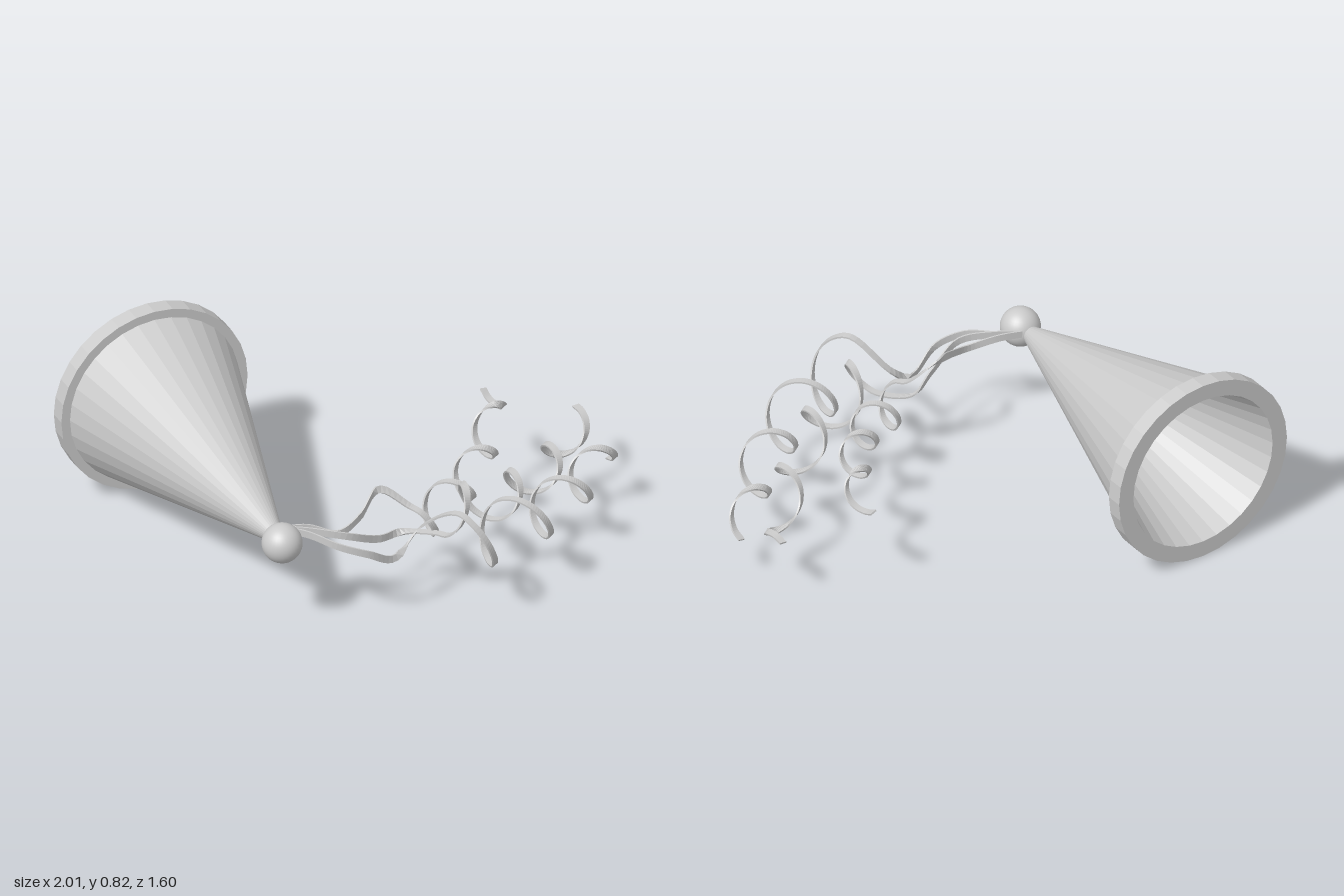
import * as THREE from 'three';

const HAT_X = -0.59, HAT_Y = 0.415;
const V = (x, y, z) => new THREE.Vector3(x, y, z);

// Streamer path: a few lead-in points from the ball, then a shrinking helix
// whose centre line bends gently backwards. One unit of t is one full turn.
function streamerPath({ lead, x, y, z, r, spin, end }) {
  const at = ([a, b, c = 0], t) => a + b * t + c * t * t;
  const points = [V(-0.55, 0.43, 0.38), ...lead.map(p => V(...p))];
  const count = Math.round((end + 0.25) * 10);
  for (let i = 0; i <= count; i++) {
    const t = -0.25 + (end + 0.25) * i / count;
    const angle = t * Math.PI * 2, radius = at(r, t);
    const side = V(-(z[1] + 2 * z[2] * t), 0, x[1]).normalize();
    points.push(V(at(x, t), at(y, t) + spin * radius * Math.sin(angle), at(z, t))
      .addScaledVector(side, radius * Math.cos(angle)));
  }
  return new THREE.CatmullRomCurve3(points, false, 'centripetal');
}

// Flat ribbon with a thin rectangular section swept along a curve.
// Its width starts upright at the ball and turns to lie along the curl's axis.
function ribbonGeometry(curve, width = 0.03, thick = 0.007) {
  const steps = curve.points.length * 6, pos = [], idx = [];
  const axis = V(0.83, 0, -0.56);
  const corners = [[-1, -1], [1, -1], [1, 1], [-1, 1]];
  for (let i = 0; i <= steps; i++) {
    const c = curve.getPoint(i / steps), t = curve.getTangent(i / steps);
    const w = V(0, 1, 0).lerp(axis, THREE.MathUtils.smoothstep(c.x, -0.3, 0.03));
    w.addScaledVector(t, -w.dot(t)).normalize();
    const n = t.clone().cross(w);
    for (const [a, b] of corners) {
      const p = c.clone().addScaledVector(w, a * width / 2).addScaledVector(n, b * thick / 2);
      pos.push(p.x, p.y, p.z);
    }
  }
  for (let i = 0; i < steps; i++) {
    for (let k = 0; k < 4; k++) {
      const a = i * 4 + k, b = i * 4 + (k + 1) % 4;
      idx.push(a, b, b + 4, a, b + 4, a + 4);
    }
  }
  const e = steps * 4;
  idx.push(0, 2, 1, 0, 3, 2, e, e + 1, e + 2, e, e + 2, e + 3);
  const indexed = new THREE.BufferGeometry();
  indexed.setAttribute('position', new THREE.Float32BufferAttribute(pos, 3));
  indexed.setIndex(idx);
  const geometry = indexed.toNonIndexed();
  geometry.computeVertexNormals();
  return geometry;
}

// Centre line (x, y, z) and radius r are polynomials in t
const STREAMERS = {
  backStreamer: {
    lead: [[-0.46, 0.43, 0.41], [-0.35, 0.40, 0.46], [-0.24, 0.43, 0.43], [-0.12, 0.485, 0.355]],
    x: [0.045, 0.215, -0.01], y: [0.325, 0.03], z: [0.395, -0.05, -0.04],
    r: [0.085, -0.012], spin: -1, end: 3.4,
  },
  middleStreamer: {
    lead: [[-0.46, 0.43, 0.44], [-0.33, 0.41, 0.51], [-0.18, 0.34, 0.48], [-0.05, 0.31, 0.43]],
    x: [0.125, 0.26], y: [0.41, -0.045], z: [0.505, -0.02, -0.05],
    r: [0.1, -0.015], spin: 1, end: 3.3,
  },
  frontStreamer: {
    lead: [[-0.47, 0.42, 0.45], [-0.39, 0.40, 0.55], [-0.28, 0.36, 0.595], [-0.15, 0.29, 0.565],
      [-0.02, 0.38, 0.53]],
    x: [0.15, 0.3, -0.012], y: [0.36, -0.033], z: [0.665, -0.05, -0.038],
    r: [0.128, -0.022], spin: -1, end: 3.2,
  },
};

export function createModel() {
  const group = new THREE.Group();
  const smooth = new THREE.MeshStandardMaterial({ color: 0xcccccc, side: THREE.DoubleSide });
  const faceted = new THREE.MeshStandardMaterial({ color: 0xcccccc, side: THREE.DoubleSide, flatShading: true });
  const add = (name, geometry, material) => {
    const mesh = new THREE.Mesh(geometry, material);
    mesh.name = name;
    group.add(mesh);
    return mesh;
  };

  // Hollow cone with a raised rim round its open end, lying along z
  const profile = [
    [0.001, 0.30], [0.34, -0.8], [0.41, -0.8], [0.41, -0.73],
    [0.372, -0.73], [0.034, 0.38], [0.001, 0.38],
  ].map(([r, z]) => new THREE.Vector2(r, z));
  const cone = add('hatCone', new THREE.LatheGeometry(profile, 32), faceted);
  cone.rotation.x = Math.PI / 2;
  cone.position.set(HAT_X, HAT_Y, 0);

  // Ball on the tip
  add('tipBall', new THREE.SphereGeometry(0.082, 32, 20), smooth)
    .position.set(HAT_X, HAT_Y, 0.447);

  // Three curled streamers tied on behind the ball
  for (const [name, spec] of Object.entries(STREAMERS)) {
    add(name, ribbonGeometry(streamerPath(spec)), smooth);
  }

  return group;
}
